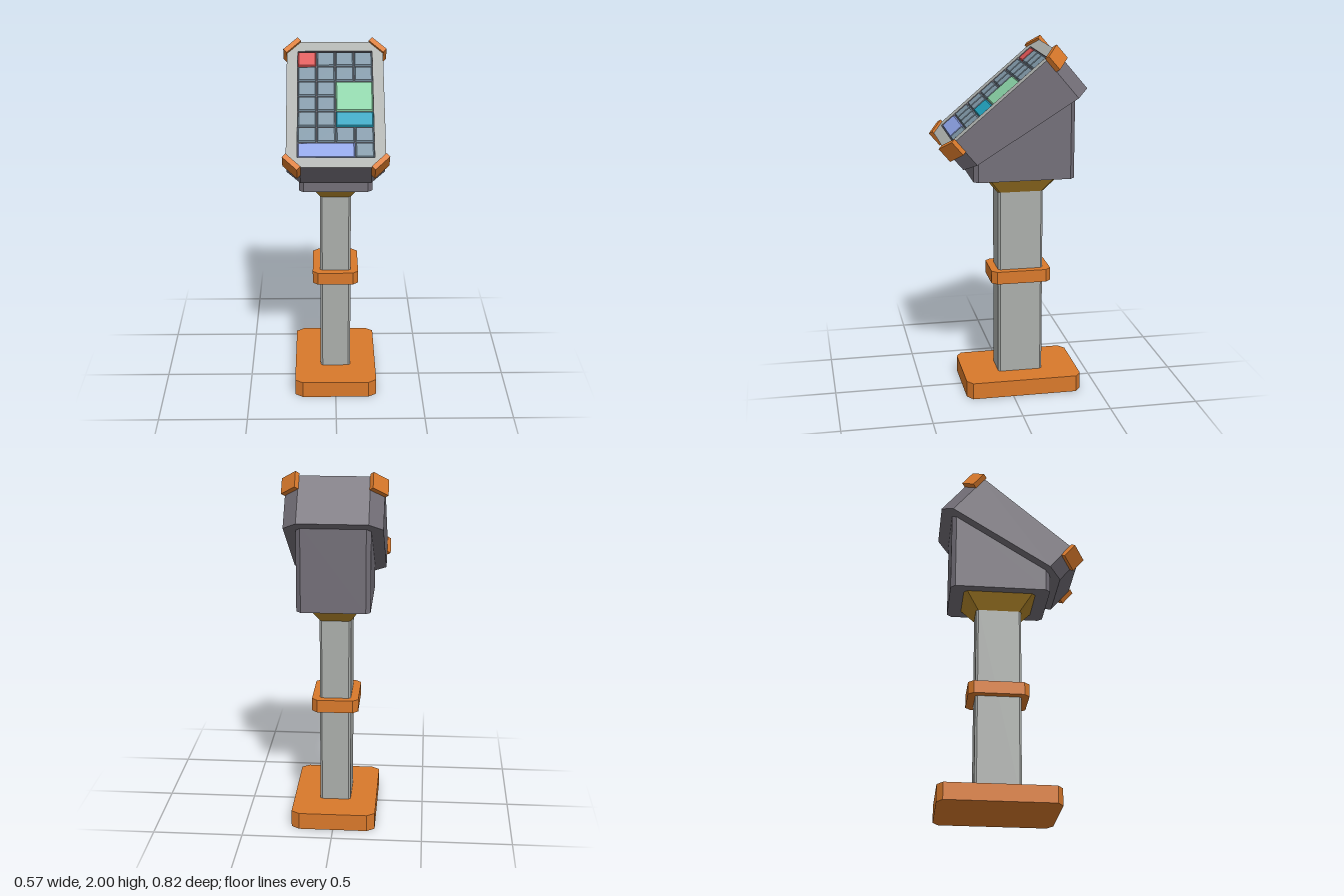
import * as THREE from 'three';

const material = (name, color) => {
  const m = new THREE.MeshStandardMaterial({ color });
  m.name = name;
  return m;
};

const AXIS_Z = -0.0675; // depth of the post axis
const TILT = 0.7015; // tilt of the keypad head
const HX = 0.265, HZ = 0.398, CUT = 0.075; // head half sizes and corner cut

// Rectangle with cut corners, as [x, z] points
function cutCorners(hx, hz, cx, cz = cx) {
  return [
    [hx - cx, hz], [hx, hz - cz], [hx, -hz + cz], [hx - cx, -hz],
    [-hx + cx, -hz], [-hx, -hz + cz], [-hx, hz - cz], [-hx + cx, hz],
  ];
}

const toPath = (points) => points.map(([x, z]) => new THREE.Vector2(x, -z));

// Upright prism over an [x, z] outline, from y0 to y1
function prism(points, y0, y1, hole) {
  const shape = new THREE.Shape(toPath(points));
  if (hole) shape.holes.push(new THREE.Path(toPath(hole)));
  const g = new THREE.ExtrudeGeometry(shape, { depth: y1 - y0, bevelEnabled: false });
  return g.rotateX(-Math.PI / 2).translate(0, y0, 0);
}

// Move vertices by a rule and refresh the flat normals
function reshape(geometry, rule) {
  const p = geometry.attributes.position;
  const v = new THREE.Vector3();
  for (let i = 0; i < p.count; i++) {
    v.fromBufferAttribute(p, i);
    rule(v);
    p.setXYZ(i, v.x, v.y, v.z);
  }
  geometry.computeVertexNormals();
  return geometry;
}

export function createModel() {
  const housing = material('dark housing', 0x736f78);
  const metal = material('grey metal', 0xabaeab);
  const orange = material('orange', 0xd9792b);
  const gold = material('gold', 0xb4872a);
  const slate = material('slate key', 0x7c93a3);
  const red = material('red key', 0xdb5252);
  const green = material('green key', 0x88d0a4);
  const teal = material('teal key', 0x20a0bc);
  const blue = material('blue key', 0x8a9fe2);

  const model = new THREE.Group();
  model.name = 'keypadTerminal';
  const add = (parent, name, geometry, mat) => {
    const mesh = new THREE.Mesh(geometry, mat);
    mesh.name = name;
    parent.add(mesh);
    return mesh;
  };

  // Post, all centred on one vertical axis
  const post = new THREE.Group();
  post.name = 'post';
  post.position.z = AXIS_Z;
  model.add(post);
  add(post, 'base', prism(cutCorners(0.235, 0.332, 0.045, 0.032), 0, 0.095), orange);
  add(post, 'column', prism(cutCorners(0.087, 0.128, 0.012), 0.09, 1.18), metal);
  add(post, 'collar', prism(cutCorners(0.13, 0.17, 0.03), 0.645, 0.717), orange);

  // Flared bracket under the head
  const flare = reshape(prism(cutCorners(0.087, 0.13, 0.012), 1.17, 1.262), (v) => {
    if (v.y > 1.2) {
      v.x *= 1.67;
      v.z *= 1.58;
    }
  });
  add(post, 'flaredBracket', flare, gold);

  // Neck box with a sloped top that meets the underside of the head
  const neck = reshape(prism(cutCorners(0.2, 0.282, 0.025), 1.26, 1.4), (v) => {
    if (v.y > 1.3) v.y = 1.352 + (0.27 - (v.z + AXIS_Z)) * 0.617;
  });
  add(post, 'neckBox', neck, housing);

  // Tilted head: local y points out of the keypad, local z down along it
  const head = new THREE.Group();
  head.name = 'head';
  head.position.set(0, 1.7215, 0.0765);
  head.rotation.x = TILT;
  model.add(head);

  const RIM = 0.012;
  const outline = cutCorners(HX, HZ, CUT);
  const shell = reshape(prism(outline, -0.2, -RIM), (v) => {
    if (v.y < -0.1) v.y = -0.228 + (v.z / HZ) * 0.058;
  });
  add(head, 'headShell', shell, housing);

  // Keypad rim with a rectangular opening
  const KX = 0.205, KTOP = -0.337, KBOTTOM = 0.338;
  const opening = [[-KX, KTOP], [-KX, KBOTTOM], [KX, KBOTTOM], [KX, KTOP]];
  add(head, 'keypadRim', prism(outline, -RIM, 0, opening), [metal, housing]);

  // Corner guards, one on each cut corner
  const guard = [[0.187, 0.399], [0.206, 0.421], [0.285, 0.342], [0.266, 0.32]];
  for (const sx of [1, -1]) {
    for (const sz of [1, -1]) {
      const points = guard.map(([x, z]) => [x * sx, z * sz]);
      add(head, 'cornerGuard', prism(points, -0.081, 0.0135), orange);
    }
  }

  // Keys: column, row, columns wide, rows tall
  const colW = (2 * KX) / 4, rowH = (KBOTTOM - KTOP) / 7;
  const addKey = (name, mat, col, row, w = 1, h = 1) => {
    const kw = w * colW - 0.004, kh = h * rowH - 0.004, inset = 0.006;
    const g = reshape(new THREE.BoxGeometry(kw, 0.01, kh), (v) => {
      if (v.y > 0) {
        v.x -= Math.sign(v.x) * inset;
        v.z -= Math.sign(v.z) * inset;
      }
    });
    const key = add(head, name, g, mat);
    key.position.set(-KX + (col + w / 2) * colW, -RIM + 0.005, KTOP + (row + h / 2) * rowH);
  };
  addKey('redKey', red, 0, 0);
  addKey('greenKey', green, 2, 2, 2, 2);
  addKey('tealKey', teal, 2, 4, 2, 1);
  addKey('blueKey', blue, 0, 6, 3, 1);
  const plainColumns = [[1, 2, 3], [0, 1, 2, 3], [0, 1], [0, 1], [0, 1], [0, 1, 2, 3], [3]];
  plainColumns.forEach((cols, row) => cols.forEach((col) => addKey('plainKey', slate, col, row)));

  return model;
}
